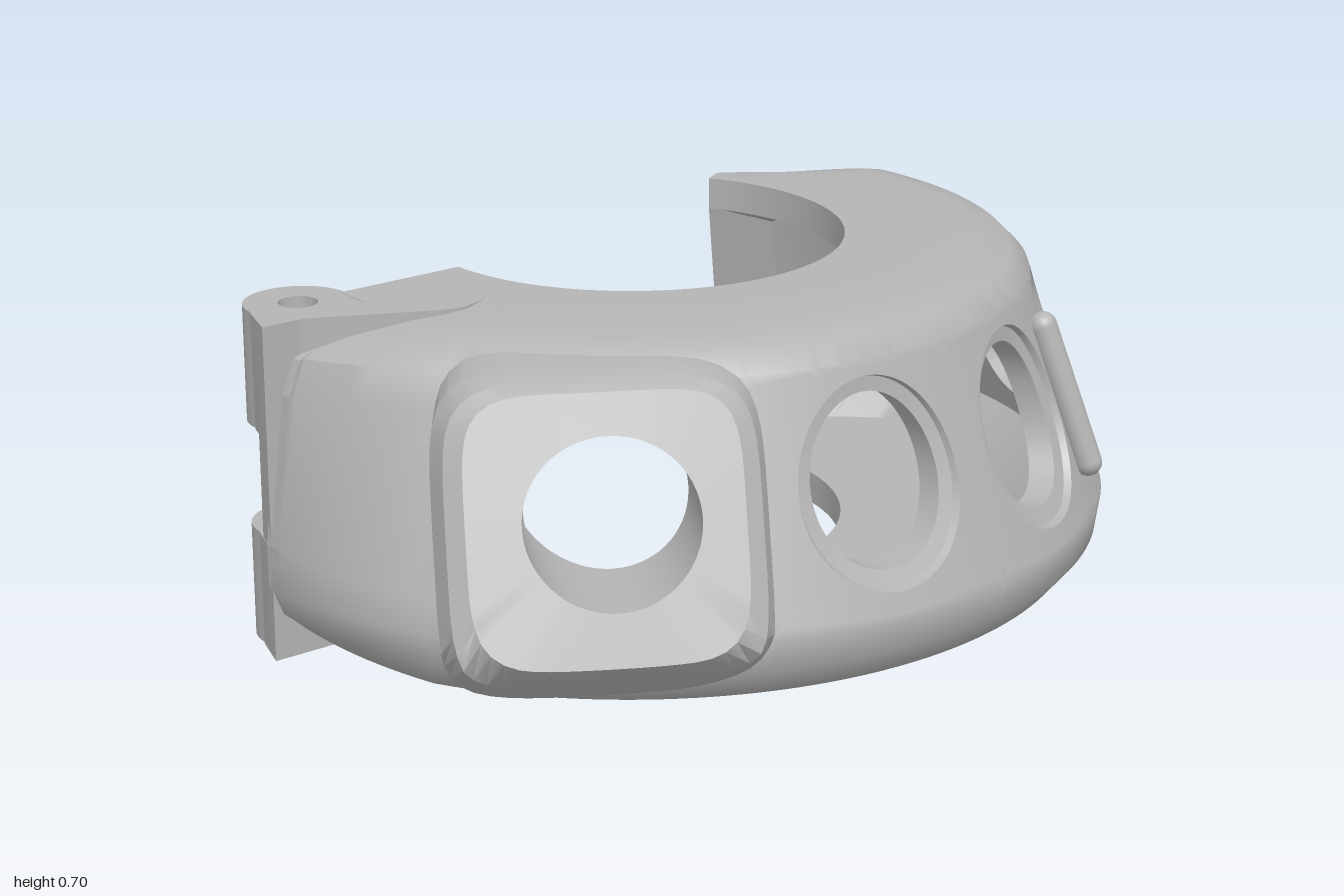
import * as THREE from 'three';
import { mergeGeometries, toCreasedNormals } from 'three/addons/utils/BufferGeometryUtils.js';

const CX = -0.09, CZ = -0.15, RAD = Math.PI / 180;
const END_A = -60, END_B = 150, LOFT_END = 145;

// Cross-sections (radius, height): top, outer wall, bottom, then the hollow channel
const MID = [[.45, .70], [.62, .70], [.735, .695], [.80, .68], [.84, .64], [.865, .57], [.989, .22], [1.01, .16], [1.0, .09],
  [.95, .03], [.85, 0], [.45, 0], [.45, .07], [.83, .07], [.93, .17], [.77, .63], [.45, .63]];
const TIP_A = [[.45, .70], [.50, .70], [.60, .66], [.72, .615], [.86, .555], [.945, .46], [.98, .34], [.972, .25], [.94, .195],
  [.88, .15], [.62, 0], [.45, 0], [.45, .07], [.60, .07], [.86, .22], [.80, .50], [.45, .63]];
const TIP_B = [[.45, .70], [.50, .70], [.72, .67], [.85, .645], [.94, .62], [.97, .55], [.99, .25], [.985, .15], [.96, .10],
  [.91, .06], [.75, 0], [.45, 0], [.45, .07], [.73, .07], [.90, .17], [.84, .56], [.45, .63]];

// Windows: angle, cell limits, half width, half height, roundness
const WINDOWS = [
  { at: -10.8, from: -23, to: 1, w: .133, h: .183, p: 2.7 },
  { at: 13, from: 1, to: 25, w: .133, h: .183, p: 2.7 },
  { at: 37, from: 25, to: 51, w: .145, h: .165, p: 2.1 },
  { at: 66, from: 51, to: 83, w: .155, h: .165, p: 2 },
  { at: 101, from: 83, to: 115, w: .185, h: .19, p: 2 },
];

const clamp01 = (v) => Math.min(1, Math.max(0, v));
const lerp = THREE.MathUtils.lerp;
const polar = (deg, r, y) =>
  new THREE.Vector3(CX + r * Math.cos(deg * RAD), y, CZ + r * Math.sin(deg * RAD));

// Section at an angle; the free end is cut straight instead of round
function section(deg) {
  const a = clamp01((-37 - deg) / 23), b = clamp01((deg - 122) / 28);
  const tip = a > 0 ? TIP_A : TIP_B, t = Math.max(a, b);
  const chord = a > 0 ? Math.cos(11.5 * RAD) / Math.cos((deg + 48.5) * RAD) : 1;
  return MID.map((p, i) => [lerp(p[0], tip[i][0], t) * (i > 2 && i < 10 ? chord : 1), lerp(p[1], tip[i][1], t)]);
}

// Surface through rows of points, with optional skipped cells
function grid(rows, skip = () => false) {
  const pos = [];
  for (let i = 0; i < rows.length - 1; i++) {
    for (let j = 0; j < rows[0].length - 1; j++) {
      if (skip(i, j)) continue;
      const a = rows[i][j], b = rows[i + 1][j], c = rows[i + 1][j + 1], d = rows[i][j + 1];
      for (const v of [a, b, c, a, c, d]) pos.push(v.x, v.y, v.z);
    }
  }
  const g = new THREE.BufferGeometry();
  g.setAttribute('position', new THREE.Float32BufferAttribute(pos, 3));
  return g;
}

// Radii of the sloped wall at a height
const outerR = (y) => lerp(1.01, .84, (y - .16) / .48);
const innerR = (y) => lerp(.93, .77, (y - .17) / .46);

function superPoint(ang, w, h, p) {
  const c = Math.cos(ang), s = Math.sin(ang);
  const k = Math.pow(Math.abs(c) ** p + Math.abs(s) ** p, -1 / p);
  return [w * c * k, h * s * k];
}

// Wall panel with a rimmed window, its tunnel and the inner wall
function windowPanel({ at, from, to, w, h, p }) {
  const yc = .41, wide = to - from, edge = [];
  const sides = [[1, -1, 0, 1, 16], [1, 1, -1, 0, wide], [-1, 1, 0, -1, 16], [-1, -1, 1, 0, wide]];
  for (const [u, v, du, dv, n] of sides)
    for (let i = 0; i < n; i++) edge.push([u + 2 * du * i / n, v + 2 * dv * i / n]);
  edge.push(edge[0]);
  const rect = (y0, y1) => edge.map(([u, v]) => [lerp(from, to, (u + 1) / 2), lerp(y0, y1, (v + 1) / 2)]);
  const hole = (grow) => edge.map(([u, v]) => {
    const [x, y] = superPoint(Math.atan2(v, u), w + grow, h + grow, p);
    return [at + x / .93 / RAD, yc + y];
  });
  const blend = (A, B, t) => A.map((a, i) => [lerp(a[0], B[i][0], t), lerp(a[1], B[i][1], t)]);
  const onto = (pts, rOf, inset = 0) => pts.map(([d, y]) => polar(d, rOf(y) - inset, y));
  const outRect = rect(.16, .64), inRect = rect(.17, .63), rim = hole(.035), open = hole(0);
  const rows = [];
  for (let k = 0; k <= 5; k++) rows.push(onto(blend(outRect, rim, k / 5), outerR));
  rows.push(onto(hole(.03), outerR, .014), onto(open, outerR, .022));
  for (let k = 0; k <= 5; k++) rows.push(onto(blend(open, inRect, k / 5), innerR));
  return grid(rows);
}

function ringBody() {
  const rows = [];
  for (let d = END_A; d <= LOFT_END; d++) {
    const s = section(d);
    rows.push([...s, s[0]].map(([r, y]) => polar(d, r, y)));
  }
  const shell = grid(rows, (i, j) => {
    const d = END_A + i;
    return d >= -23 && d < 115 && ((j >= 4 && j < 7) || j === 14);
  });
  return toCreasedNormals(mergeGeometries([shell, ...WINDOWS.map(windowPanel)]), .7);
}

// Rounded frame that leans back with the wall and is undercut at the bottom
function frameBlock() {
  const N = 72;
  const ring = (cx, cy, w, h, p, depth) => Array.from({ length: N + 1 }, (_, i) => {
    const [x, y] = superPoint(-i / N * Math.PI * 2, w, h, p);
    const X = cx + x, Y = cy + y;
    const lean = .47 * Math.max(0, Y - .19) + .7 * Math.max(0, .19 - Y) + .25 * (X + .28) ** 2;
    return new THREE.Vector3(X, Y, 1.0 - lean - depth(X));
  });
  const back = (x) => .155 - .27 * x;
  return toCreasedNormals(grid([
    ring(-.28, .37, .29, .305, 5, back),
    ring(-.28, .37, .32, .31, 5, () => .08),
    ring(-.28, .395, .30, .275, 5, () => .02),
    ring(-.28, .42, .265, .235, 5, () => 0),
    ring(-.27, .43, .17, .15, 2, () => 0),
    ring(-.27, .43, .17, .15, 2, back),
    ring(-.28, .37, .29, .305, 5, back),
  ]), .4);
}

const shapeOf = (pts) => new THREE.Shape(pts.map(([x, y]) => new THREE.Vector2(x, y)));
const extrude = (shape, depth) =>
  new THREE.ExtrudeGeometry(shape, { depth, bevelEnabled: false, curveSegments: 24 });
// Plan shape (radius, distance back from the hinge plane) raised from a height
const raise = (shape, height, y) => extrude(shape, height).rotateX(-Math.PI / 2).translate(0, y, 0);

export function createModel() {
  const model = new THREE.Group();
  const grey = new THREE.MeshStandardMaterial({ color: 0xb4b4b4, side: THREE.DoubleSide });
  grey.name = 'grey';
  const add = (name, geometry, deg) => {
    const m = new THREE.Mesh(geometry, grey);
    m.name = name;
    if (deg !== undefined) {
      m.position.set(CX, 0, CZ);
      m.rotation.y = -deg * RAD;
    }
    model.add(m);
    return m;
  };

  add('ringBody', ringBody());
  add('squareFrame', frameBlock());

  // Closed end with a blind pin hole
  const lip = [[.45, .06], [.55, .06], [.45, .63]];
  const endShape = shapeOf([...TIP_A.slice(0, 12), ...lip]);
  endShape.holes.push(new THREE.Path().absarc(.65, .33, .045, 0, Math.PI * 2, true));
  add('endWall', extrude(endShape, .025), END_A);
  add('pinHoleFloor', new THREE.CircleGeometry(.05, 24).translate(.65, .33, .026), END_A);

  // Hinge end: recessed wall and the solid block beside the lugs
  add('hingeWall', extrude(shapeOf([...section(LOFT_END).slice(2, 11), [.70, 0]]), .04).translate(0, 0, -.04), LOFT_END);
  add('hingeBlock', extrude(shapeOf([[.45, .70], [.74, .65], [.74, 0], [.45, 0], ...lip]), .12).translate(0, 0, -.12), END_B);

  // Hinge lugs
  const lug = new THREE.Shape();
  lug.moveTo(.985, .1);
  lug.lineTo(.955, .01);
  lug.absarc(.84, 0, .11, 0, -Math.PI, true);
  lug.lineTo(.73, .1);
  lug.holes.push(new THREE.Path().absarc(.84, 0, .04, 0, Math.PI * 2, false));
  for (const [name, y] of [['lowerLug', 0], ['upperLug', .46]])
    add(name, toCreasedNormals(raise(lug, .24, y), .5), END_B);

  // Body filling behind the gap between the lugs
  add('lugWeb', raise(shapeOf([[.89, .1], [.89, .04], [.96, .03], [.985, .1]]), .24, .23), END_B);

  // Flat pad that carries the upper lug into the top of the ring
  const pad = shapeOf([[.455, 0], [.74, 0], [.74, .09], [.90, .1], [.70, .2], [.65, .225], [.60, .235], [.55, .22], [.51, .18], [.47, .08]]);
  add('hingePad', raise(pad, .09, .611), END_B);

  // Raised bar between two windows
  const lo = polar(24, .99, .27), hi = polar(24, .885, .56);
  const bar = add('raisedBar', new THREE.CapsuleGeometry(.03, lo.distanceTo(hi), 8, 16));
  bar.position.copy(lo).lerp(hi, .5);
  bar.quaternion.setFromUnitVectors(new THREE.Vector3(0, 1, 0), hi.clone().sub(lo).normalize());

  // Small spike inside the channel
  const spike = add('innerSpike', toCreasedNormals(new THREE.ConeGeometry(.035, .15, 4), .3));
  spike.position.copy(polar(46, .84, .13));
  spike.rotation.y = -46 * RAD;

  return model;
}
